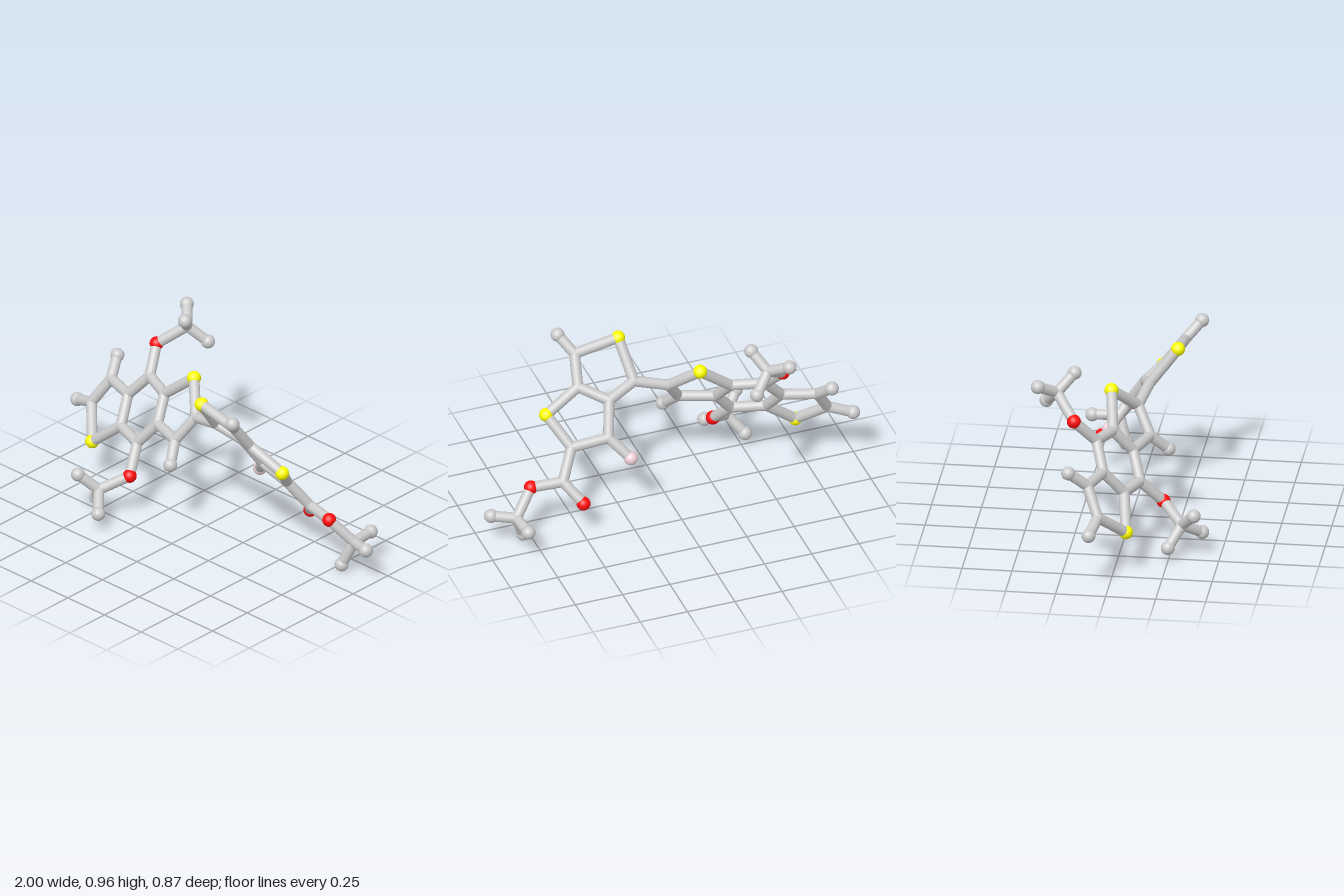
import * as THREE from 'three';

const BALL = 0.035, STICK = 0.027;

// Each part: joints [x, y, z, kind]. Kinds: c = plain joint, h = end ball, s / o / f = coloured ball.
const PARTS = {
  tripleRing: {
    c1: [-0.84, 0.355, -0.06, 'c'], s1: [-0.717, 0.23, 0.065, 's'],
    c2: [-0.764, 0.492, -0.122, 'c'], c3: [-0.595, 0.493, -0.065, 'c'],
    c4: [-0.55, 0.371, 0.034, 'c'], c5: [-0.491, 0.618, -0.112, 'c'],
    c6: [-0.332, 0.604, -0.05, 'c'], c7: [-0.29, 0.487, 0.045, 'c'],
    c8: [-0.385, 0.362, 0.092, 'c'], s2: [-0.16, 0.747, -0.08, 's'],
    c9: [-0.037, 0.62, 0.037, 'c'], c10: [-0.112, 0.49, 0.107, 'c'],
    h1: [-0.965, 0.31, -0.09, 'h'], h2: [-0.807, 0.573, -0.212, 'h'],
    h3: [-0.064, 0.402, 0.193, 'h'],
  },
  upperBranch: {
    o1: [-0.545, 0.738, -0.218, 'o'], c20: [-0.43, 0.84, -0.317, 'c'],
    h4: [-0.513, 0.9, -0.402, 'h'], h5: [-0.371, 0.925, -0.237, 'h'], h6: [-0.348, 0.759, -0.38, 'h'],
  },
  lowerBranch: {
    o2: [-0.332, 0.239, 0.202, 'o'], c21: [-0.442, 0.162, 0.308, 'c'],
    h7: [-0.519, 0.068, 0.248, 'h'], h8: [-0.519, 0.247, 0.377, 'h'], h9: [-0.36, 0.093, 0.399, 'h'],
  },
  doubleRing: {
    c11: [0.134, 0.663, 0.072, 'c'], s3: [0.166, 0.843, 0.21, 's'],
    c12: [0.394, 0.798, 0.217, 'c'], c13: [0.412, 0.664, 0.12, 'c'],
    c14: [0.281, 0.61, 0.03, 'c'], s4: [0.594, 0.565, 0.082, 's'],
    c15: [0.508, 0.43, -0.045, 'c'], c16: [0.32, 0.457, -0.068, 'c'],
    h10: [0.455, 0.877, 0.293, 'h'], f1: [0.23, 0.361, -0.143, 'f'],
  },
  tailBranch: {
    c17: [0.583, 0.294, -0.127, 'c'], o3: [0.507, 0.201, -0.214, 'o'],
    o4: [0.743, 0.282, -0.1, 'o'], c18: [0.845, 0.167, -0.17, 'c'],
    h11: [0.965, 0.183, -0.129, 'h'], h12: [0.797, 0.037, -0.132, 'h'], h13: [0.832, 0.166, -0.305, 'h'],
  },
};

// Sticks as chains of joint names
const CHAINS = {
  tripleRing: ['c1 s1 c4 c3 c2 c1', 'c3 c5 c6 c7 c8 c4', 'c6 s2 c9 c10 c7', 'c1 h1', 'c2 h2', 'c10 h3'],
  upperBranch: ['c5 o1 c20 h4', 'h5 c20 h6'],
  lowerBranch: ['c8 o2 c21 h7', 'h8 c21 h9'],
  doubleRing: ['c9 c11 s3 c12 c13 c14 c11', 'c13 s4 c15 c16 c14', 'c12 h10', 'c16 f1'],
  tailBranch: ['c15 c17 o4 c18 h11', 'c17 o3', 'h12 c18 h13'],
};

export function createModel() {
  const model = new THREE.Group();
  const grey = new THREE.MeshStandardMaterial({ color: 0xcccccc });
  const colour = (color) => new THREE.MeshStandardMaterial({ color });
  const materials = { c: grey, h: grey, s: colour(0xffff00), o: colour(0xff0d0d), f: colour(0xf0d0d8) };
  const names = { c: 'joint', h: 'endBall', s: 'yellowBall', o: 'redBall', f: 'pinkBall' };
  const ballGeo = new THREE.SphereGeometry(BALL, 24, 16);
  const jointGeo = new THREE.SphereGeometry(STICK, 24, 16);
  const stickGeo = new THREE.CylinderGeometry(STICK, STICK, 1, 20, 1, true);
  const up = new THREE.Vector3(0, 1, 0);
  const points = {};

  // Balls and joints
  for (const [part, joints] of Object.entries(PARTS)) {
    const group = new THREE.Group();
    group.name = part;
    model.add(group);
    for (const [key, [x, y, z, kind]] of Object.entries(joints)) {
      points[key] = new THREE.Vector3(x, y, z);
      const ball = new THREE.Mesh(kind === 'c' ? jointGeo : ballGeo, materials[kind]);
      ball.name = names[kind];
      ball.position.copy(points[key]);
      group.add(ball);
    }
  }

  // Connecting sticks
  for (const [part, chains] of Object.entries(CHAINS)) {
    const group = model.getObjectByName(part);
    for (const chain of chains) {
      const keys = chain.split(' ');
      for (let i = 1; i < keys.length; i++) {
        const a = points[keys[i - 1]], b = points[keys[i]];
        const dir = b.clone().sub(a);
        const stick = new THREE.Mesh(stickGeo, grey);
        stick.name = 'stick';
        stick.scale.y = dir.length();
        stick.position.copy(a).add(b).multiplyScalar(0.5);
        stick.quaternion.setFromUnitVectors(up, dir.normalize());
        group.add(stick);
      }
    }
  }
  return model;
}
